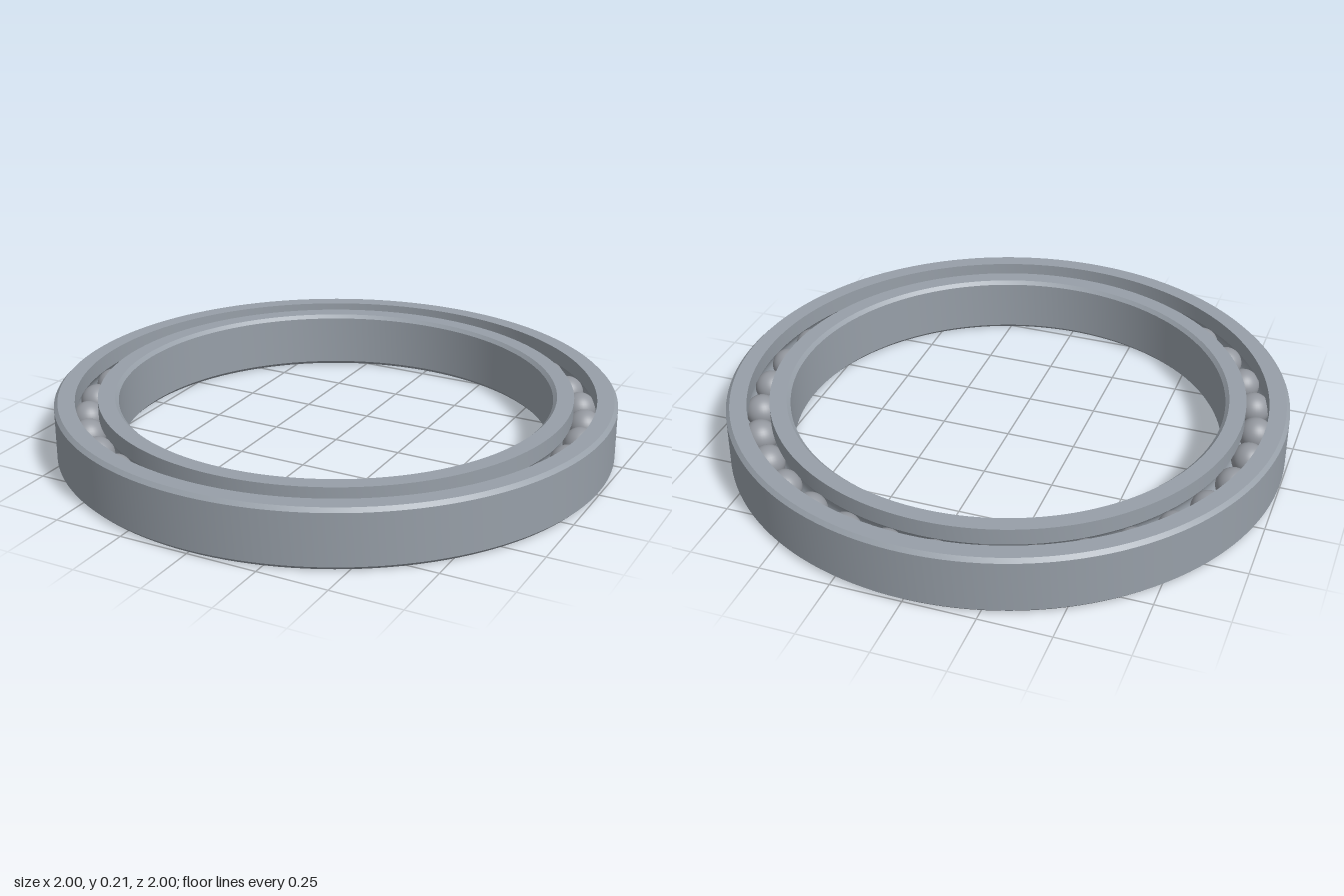
import * as THREE from 'three';
import { toCreasedNormals } from 'three/addons/utils/BufferGeometryUtils.js';

const HEIGHT = 0.21, MID = HEIGHT / 2;
const PITCH = 0.887;      // radius of the circle of balls
const BALL = 0.06, GROOVE = 0.061;
const BALL_COUNT = 34;

// Arc of the ball groove, running from angle a0 to a1 around the ball centre
function grooveArc(a0, a1, steps = 12) {
  return Array.from({ length: steps + 1 }, (_, i) => {
    const a = a0 + (a1 - a0) * i / steps;
    return [PITCH + GROOVE * Math.cos(a), MID + GROOVE * Math.sin(a)];
  });
}

// Sweeps a closed counterclockwise profile, keeping its corners sharp
function makeRing(name, profile, material) {
  const points = [...profile, profile[0]].map(([r, y]) => new THREE.Vector2(r, y));
  const ring = new THREE.Mesh(toCreasedNormals(new THREE.LatheGeometry(points, 144), 0.6), material);
  ring.name = name;
  return ring;
}

export function createModel() {
  const group = new THREE.Group();
  group.name = 'ballBearing';

  const ringSteel = new THREE.MeshStandardMaterial({ color: 0x979fa8 });
  ringSteel.name = 'ring steel';
  const ballSteel = new THREE.MeshStandardMaterial({ color: 0x94989f });
  ballSteel.name = 'ball steel';

  const c = 0.013;                          // chamfer
  const outerLip = 0.927, innerLip = 0.847; // edges of the gap
  const half = Math.acos((outerLip - PITCH) / GROOVE);

  // Outer race: chamfered outside, grooved inside
  group.add(makeRing('outerRace', [
    [1 - c, 0], [1, c], [1, HEIGHT - c], [1 - c, HEIGHT],
    [outerLip, HEIGHT], ...grooveArc(half, -half), [outerLip, 0],
  ], ringSteel));

  // Inner race: grooved outside, chamfered bore
  const bore = 0.774;
  group.add(makeRing('innerRace', [
    [innerLip, 0], ...grooveArc(Math.PI + half, Math.PI - half), [innerLip, HEIGHT],
    [bore + c, HEIGHT], [bore, HEIGHT - c], [bore, c], [bore + c, 0],
  ], ringSteel));

  // Balls
  const balls = new THREE.Group();
  balls.name = 'balls';
  const ballGeometry = new THREE.SphereGeometry(BALL, 32, 20);
  for (let i = 0; i < BALL_COUNT; i++) {
    const a = -0.022 + i / BALL_COUNT * Math.PI * 2;
    const ball = new THREE.Mesh(ballGeometry, ballSteel);
    ball.name = 'ball';
    ball.position.set(PITCH * Math.cos(a), MID, -PITCH * Math.sin(a));
    balls.add(ball);
  }
  group.add(balls);

  return group;
}
